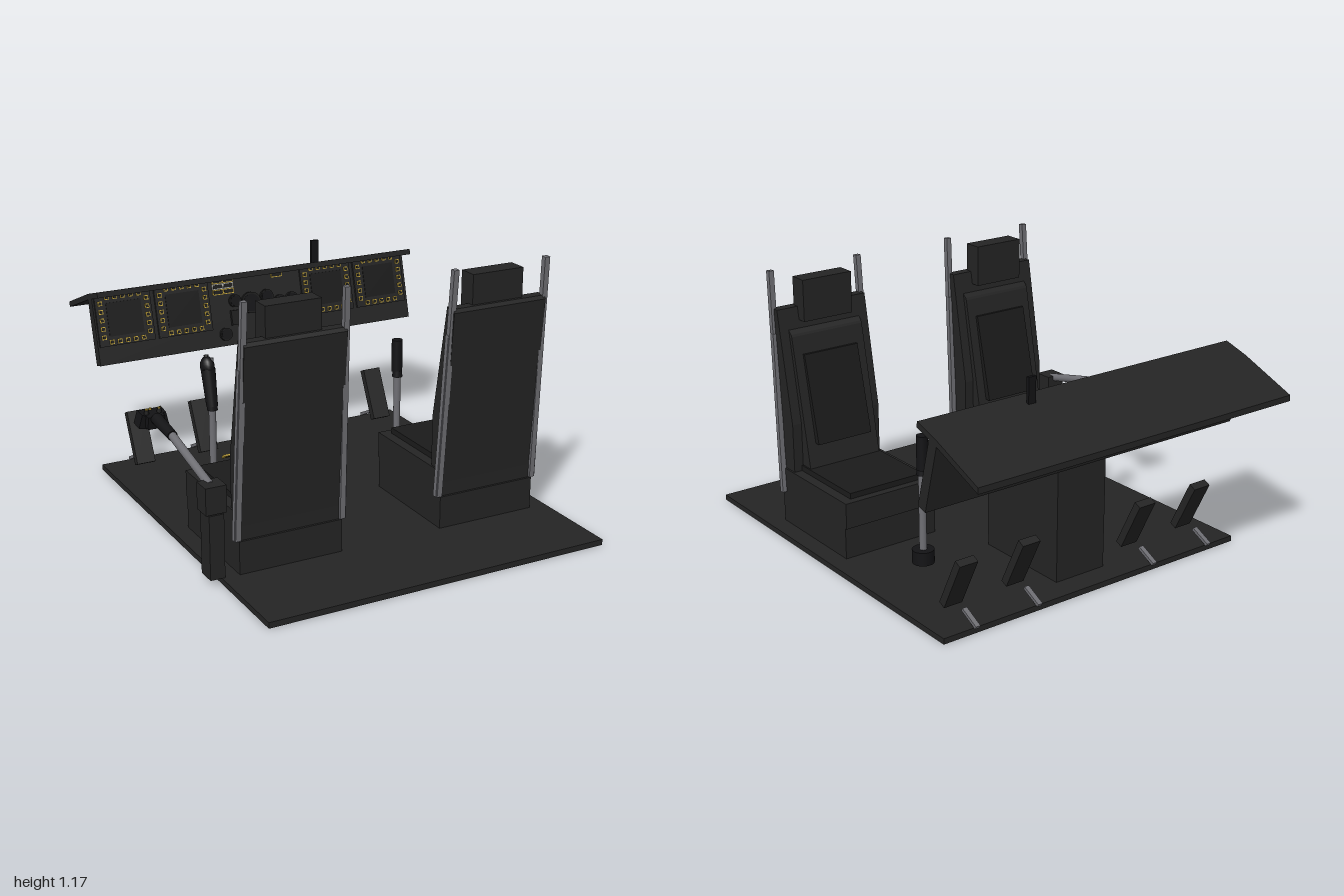
import * as THREE from 'three';

const mat = (name, color, side = THREE.FrontSide) => {
  const m = new THREE.MeshStandardMaterial({ color, side });
  m.name = name;
  return m;
};

export function createModel() {
  const body = mat('charcoal', 0x242424);
  const trim = mat('dark trim', 0x1b1b1b);
  const grip = mat('black rubber', 0x131315);
  const metal = mat('grey metal', 0x6e6e73);
  const yellow = mat('yellow', 0xc4a53a);
  const pale = mat('pale marking', 0xb8b8b0);

  const root = new THREE.Group();
  root.name = 'cockpit';

  const group = (name, parent, x = 0, y = 0, z = 0, rx = 0) => {
    const g = new THREE.Group();
    g.name = name;
    g.position.set(x, y, z);
    g.rotation.x = rx;
    parent.add(g);
    return g;
  };
  const add = (parent, name, geo, m, x = 0, y = 0, z = 0, rx = 0, ry = 0, rz = 0) => {
    const mesh = new THREE.Mesh(geo, m);
    mesh.name = name;
    mesh.position.set(x, y, z);
    mesh.rotation.set(rx, ry, rz);
    parent.add(mesh);
    return mesh;
  };
  const box = (p, name, m, w, h, d, x, y, z, rx = 0, ry = 0, rz = 0) =>
    add(p, name, new THREE.BoxGeometry(w, h, d), m, x, y, z, rx, ry, rz);
  const cyl = (p, name, m, r0, r1, h, x, y, z, rx = 0, rz = 0) =>
    add(p, name, new THREE.CylinderGeometry(r0, r1, h, 20), m, x, y, z, rx, 0, rz);
  // bar of square (4) or round section between two points
  const bar = (p, name, m, a, b, r, sides = 16, rEnd = r) => {
    const A = new THREE.Vector3(...a), B = new THREE.Vector3(...b);
    const geo = new THREE.CylinderGeometry(rEnd, r, A.distanceTo(B), sides);
    if (sides === 4) geo.rotateY(Math.PI / 4);
    const mesh = add(p, name, sides === 4 ? geo.toNonIndexed() : geo, m);
    if (sides === 4) mesh.geometry.computeVertexNormals();
    mesh.position.copy(A).lerp(B, 0.5);
    mesh.quaternion.setFromUnitVectors(new THREE.Vector3(0, 1, 0), B.sub(A).normalize());
    return mesh;
  };
  // solid from a (z, y) outline, spanning x0..x1
  const slab = (p, name, m, pts, x0, x1) => {
    const shape = new THREE.Shape(pts.map(([z, y]) => new THREE.Vector2(-z, y)));
    const geo = new THREE.ExtrudeGeometry(shape, { depth: x1 - x0, bevelEnabled: false });
    geo.rotateY(Math.PI / 2);
    return add(p, name, geo, m, x0);
  };
  // framed key facing local +z
  const key = (p, x, y, z, w = 0.02, h = 0.02, m = yellow) => {
    box(p, 'keyFrame', m, w, h, 0.008, x, y, z);
    box(p, 'keyCap', trim, w - 0.007, h - 0.007, 0.008, x, y, z + 0.002);
  };

  // floor
  box(root, 'floor', body, 1.545, 0.025, 1.74, 0.02, 0.0125, 0.13);

  // seats
  for (const cx of [-0.447, 0.483]) {
    const seat = group('seat', root, cx);
    box(seat, 'seatBase', body, 0.46, 0.145, 0.51, 0, 0.095, 0.335);
    box(seat, 'seatPan', body, 0.46, 0.115, 0.51, 0, 0.223, 0.325);
    box(seat, 'seatCushion', trim, 0.37, 0.028, 0.42, 0, 0.292, 0.315);
    slab(seat, 'backShell', body,
      [[0.5, 0.17], [0.575, 0.17], [0.645, 0.985], [0.635, 1.0], [0.59, 1.0], [0.5, 0.5]], -0.222, 0.222);
    slab(seat, 'backCushion', body,
      [[0.435, 0.3], [0.54, 0.3], [0.62, 0.95], [0.555, 0.89], [0.55, 0.88]], -0.178, 0.178);
    slab(seat, 'backPad', trim,
      [[0.43, 0.41], [0.48, 0.41], [0.56, 0.8], [0.522, 0.8]], -0.135, 0.135);
    box(seat, 'headrest', body, 0.242, 0.185, 0.085, 0, 1.035, 0.578);
    for (const s of [-1, 1]) {
      bar(seat, 'seatRail', metal, [s * 0.234, 0.17, 0.578], [s * 0.219, 1.165, 0.638], 0.017, 4);
      bar(seat, 'railSleeve', metal, [s * 0.239, 0.17, 0.574], [s * 0.226, 0.89, 0.617], 0.016, 4);
    }
  }
  const handle = group('pullHandle', root, -0.447, 0.306, 0.063, -0.7);
  box(handle, 'handleBar', yellow, 0.11, 0.008, 0.026, 0, 0, 0);
  box(handle, 'handleGap', grip, 0.085, 0.01, 0.01, 0, 0, 0);

  // pedals
  for (const x of [-0.605, -0.29, 0.328, 0.637]) {
    const pedal = group('pedal', root, x);
    box(pedal, 'pedalPlate', body, 0.088, 0.245, 0.035, 0, 0.175, -0.625, -0.46);
    box(pedal, 'pedalArm', metal, 0.022, 0.014, 0.1, 0, 0.05, -0.705, -0.46);
  }

  // glare shield with a bent front lip, and a small post on it
  slab(root, 'glareShield', body,
    [[-0.62, 0.862], [-0.74, 0.825], [-1, 0.722], [-1, 0.748], [-0.74, 0.852], [-0.625, 0.887]], -0.78, 0.82);
  box(root, 'shieldPost', grip, 0.036, 0.11, 0.014, 0.33, 0.922, -0.685);

  // instrument panel, leaning back
  const dash = group('instrumentPanel', root, 0.02, 0.69, -0.685, -0.262);
  box(dash, 'panelBoard', body, 1.6, 0.31, 0.05, 0, 0, 0);
  for (const x of [-0.66, -0.375, 0.365, 0.65]) {
    const d = group('display', dash, x, 0.045, 0.025);
    box(d, 'displayBezel', body, 0.265, 0.235, 0.014, 0, 0, 0.004);
    box(d, 'displayGlass', trim, 0.165, 0.15, 0.006, 0, 0, 0.011);
    for (let i = -2; i <= 2; i++) {
      for (const s of [-1, 1]) {
        key(d, s * 0.11, i * 0.038, 0.012);
        key(d, i * 0.038, s * 0.1, 0.012);
      }
    }
  }
  // round gauges: x, y, radius
  const gauges = [[-0.095, 0.735, 0.03], [-0.015, 0.717, 0.05], [0.068, 0.735, 0.033], [0.068, 0.668, 0.033],
    [0.134, 0.703, 0.032], [0.134, 0.65, 0.032], [0.196, 0.708, 0.032], [0.196, 0.65, 0.032], [-0.16, 0.593, 0.03]];
  for (const [x, y, r] of gauges) {
    const v = (y - 0.69) * 1.035;
    cyl(dash, 'gaugeRim', trim, r, r, 0.02, x - 0.02, v, 0.03, Math.PI / 2);
    cyl(dash, 'gaugeFace', grip, r * 0.82, r * 0.82, 0.004, x - 0.02, v, 0.04, Math.PI / 2);
  }
  box(dash, 'squareGauge', trim, 0.058, 0.068, 0.02, -0.115, -0.03, 0.03);
  for (let r = 0; r < 3; r++) {
    for (const x of [-0.193, -0.14]) key(dash, x, 0.148 - r * 0.026, 0.027, 0.052, 0.024, r === 1 ? pale : yellow);
  }
  key(dash, 0.113, 0.142, 0.027, 0.058, 0.026);

  // centre pedestal with a sloping control deck
  const pedestal = group('pedestal', root);
  slab(pedestal, 'pedestalBody', body,
    [[-0.63, 0.02], [-0.165, 0.02], [-0.165, 0.348], [-0.63, 0.52]], -0.107, 0.145);
  const slope = group('controlDeck', pedestal, 0.02, 0.446, -0.397, 0.354);
  box(slope, 'deckPlate', body, 0.252, 0.006, 0.49, 0, 0, 0);
  box(slope, 'upperPanel', trim, 0.21, 0.012, 0.15, 0, 0.007, -0.14);
  box(slope, 'lowerPanel', trim, 0.16, 0.012, 0.29, 0, 0.007, 0.088);
  const deck = group('deckControls', slope, 0, 0.013, 0, -Math.PI / 2); // local y runs up the slope
  for (let i = 0; i < 6; i++) {
    for (const y of [0.19, 0.167]) key(deck, -0.08 + i * 0.031, y, 0.002, 0.029, 0.021);
  }
  for (let i = 0; i < 4; i++) {
    cyl(deck, 'knob', metal, 0.007, 0.009, 0.02, -0.048 + i * 0.034, 0.085, 0.01, Math.PI / 2);
  }
  for (let i = 0; i < 3; i++) {
    key(deck, -0.025, 0.012 - i * 0.026, 0.002, 0.045, 0.024);
    for (const x of [-0.045, 0.035]) key(deck, x, -0.112 - i * 0.032, 0.002, 0.034, 0.026, i === 1 ? pale : yellow);
  }
  key(deck, 0.03, -0.07, 0.002, 0.05, 0.024);
  for (const y of [0.125, 0.05, -0.03]) {
    cyl(deck, 'lever', grip, 0.008, 0.008, 0.03, 0.085, y, 0.014, Math.PI / 2);
  }

  // control sticks
  for (const x of [-0.447, 0.483]) {
    const stick = group('controlStick', root, x, 0, -0.16);
    cyl(stick, 'stickBase', grip, 0.048, 0.048, 0.06, 0, 0.068, 0);
    cyl(stick, 'stickPost', metal, 0.016, 0.016, 0.38, 0, 0.27, 0);
    cyl(stick, 'stickCollar', grip, 0.021, 0.024, 0.03, 0, 0.45, 0);
    if (x > 0) {
      cyl(stick, 'stickGrip', grip, 0.025, 0.025, 0.15, 0, 0.535, -0.005);
      continue;
    }
    bar(stick, 'stickGrip', grip, [0, 0.45, 0], [0, 0.61, -0.035], 0.025, 16, 0.032);
    const head = add(stick, 'stickHead', new THREE.SphereGeometry(0.036, 16, 12), grip, 0, 0.62, -0.042, -0.25);
    head.scale.set(0.85, 1.25, 1.1);
    cyl(stick, 'hatSwitch', trim, 0.01, 0.012, 0.025, 0, 0.658, -0.05, -0.3);
    cyl(stick, 'thumbButton', metal, 0.006, 0.006, 0.014, 0.015, 0.655, -0.025);
    add(stick, 'triggerGuard', new THREE.TorusGeometry(0.03, 0.004, 6, 4), grip, 0, 0.565, -0.06, 0, Math.PI / 2);
  }

  // throttle on a side post
  const throttle = group('throttle', root, -0.77);
  box(throttle, 'throttlePost', body, 0.064, 0.275, 0.085, 0, 0.1625, 0.543);
  box(throttle, 'throttleBox', body, 0.09, 0.115, 0.085, 0, 0.362, 0.543);
  bar(throttle, 'throttleArm', metal, [0, 0.405, 0.53], [0, 0.488, 0.15], 0.018);
  bar(throttle, 'throttleGrip', grip, [0, 0.485, 0.165], [0, 0.505, 0.0], 0.022, 16, 0.026);
  box(throttle, 'throttleHead', grip, 0.075, 0.055, 0.085, 0, 0.49, -0.045, 0.1);
  for (const s of [-1, 1]) {
    box(throttle, 'headHorn', grip, 0.035, 0.06, 0.06, s * 0.043, 0.488, -0.06, 0.1, 0, s * 0.25);
    cyl(throttle, 'headSwitch', trim, 0.009, 0.011, 0.02, s * 0.028, 0.524, -0.04);
    cyl(throttle, 'switchCap', yellow, 0.006, 0.006, 0.005, s * 0.028, 0.536, -0.04);
  }
  cyl(throttle, 'headButton', yellow, 0.006, 0.006, 0.008, 0, 0.525, -0.07);

  return root;
}
